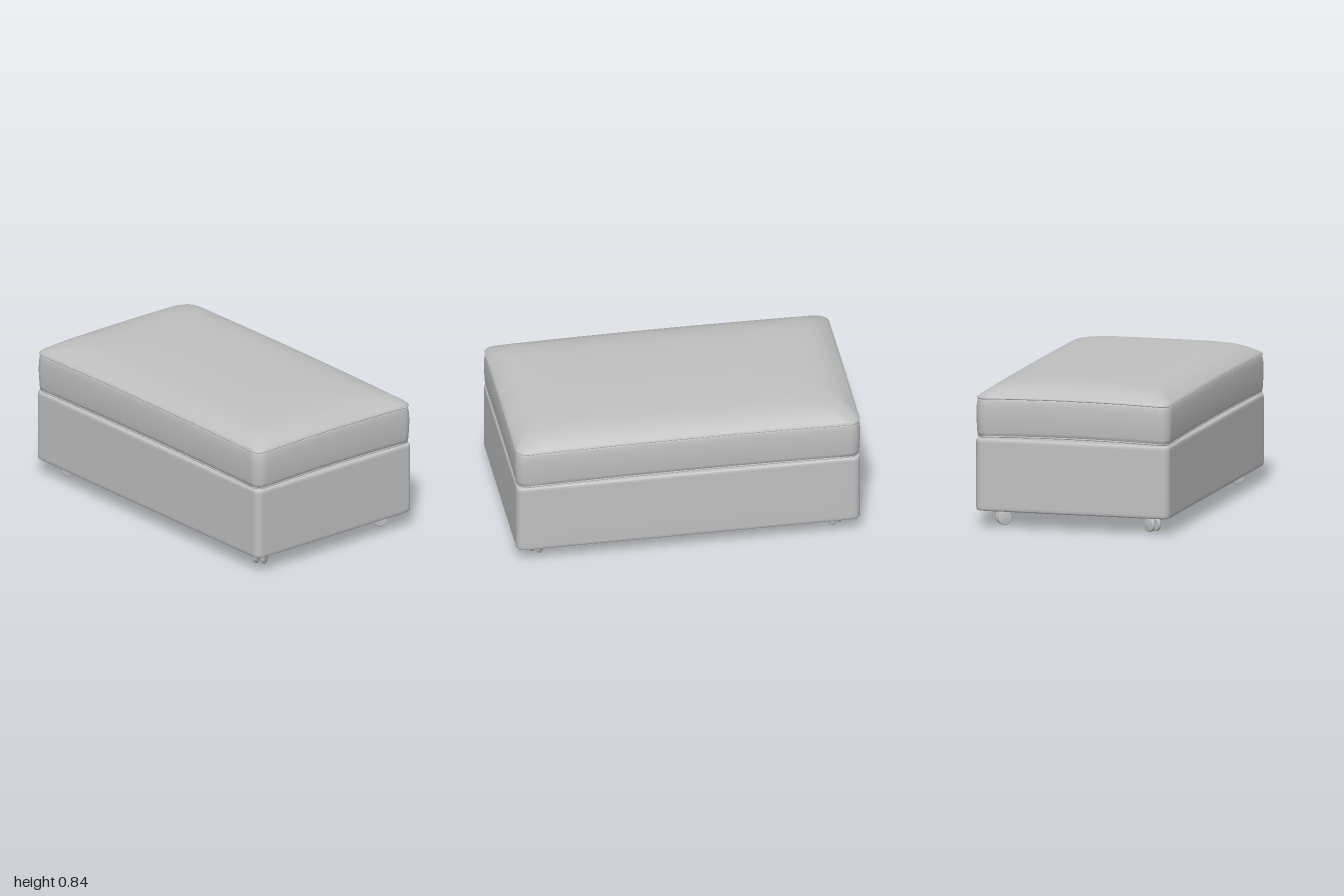
import * as THREE from 'three';

// Outline of a rounded rectangle in the xz plane, with subdivided straight edges
function outline(hx, hz, r) {
  const pts = [];
  const arc = 8, edge = 14;
  const corners = [[1, 1], [-1, 1], [-1, -1], [1, -1]];
  corners.forEach(([sx, sz], k) => {
    for (let i = 0; i <= arc; i++) {
      const a = (k + i / arc) * Math.PI / 2;
      pts.push([sx * (hx - r) + r * Math.cos(a), sz * (hz - r) + r * Math.sin(a)]);
    }
    const [nx, nz] = corners[(k + 1) % 4];
    const a = (k + 1) * Math.PI / 2;
    const from = pts[pts.length - 1];
    const to = [nx * (hx - r) + r * Math.cos(a), nz * (hz - r) + r * Math.sin(a)];
    for (let i = 1; i < edge; i++) {
      pts.push([from[0] + (to[0] - from[0]) * i / edge, from[1] + (to[1] - from[1]) * i / edge]);
    }
  });
  return pts;
}

// Ring of points, lifted by "wave" at the middle of each side
function ringPoints({ y, hx, hz, r, wave = 0 }) {
  return outline(hx, hz, r).map(([x, z]) =>
    new THREE.Vector3(x, y + wave * (1 - (x / hx) ** 2 * (z / hz) ** 2), z));
}

// Closed skin through rings listed from bottom to top
function loft(rings) {
  const loops = rings.map(ringPoints);
  const n = loops[0].length;
  const pos = loops.flat().flatMap(p => [p.x, p.y, p.z]);
  const index = [];
  for (let i = 0; i < loops.length - 1; i++) {
    for (let j = 0; j < n; j++) {
      const k = (j + 1) % n;
      const a = i * n + j, b = i * n + k, c = a + n, d = b + n;
      index.push(a, c, b, b, c, d);
    }
  }
  const first = rings[0], last = rings[rings.length - 1];
  const bottom = loops.length * n, top = bottom + 1, lastRow = (loops.length - 1) * n;
  pos.push(0, first.y + (first.wave || 0), 0, 0, last.y + (last.wave || 0), 0);
  for (let j = 0; j < n; j++) {
    const k = (j + 1) % n;
    index.push(bottom, j, k, top, lastRow + k, lastRow + j);
  }
  const geo = new THREE.BufferGeometry();
  geo.setAttribute('position', new THREE.Float32BufferAttribute(pos, 3));
  geo.setIndex(index);
  geo.computeVertexNormals();
  return geo;
}

export function createModel() {
  const model = new THREE.Group();
  model.name = 'ottoman';
  const grey = new THREE.MeshStandardMaterial({ color: 0xc0c0c0 });
  grey.name = 'grey upholstery';

  const add = (parent, geo, name) => {
    const mesh = new THREE.Mesh(geo, grey);
    mesh.name = name;
    parent.add(mesh);
    return mesh;
  };
  // Ring inset by d from the full footprint
  const ring = (y, d, r, wave = 0) => ({ y, hx: 0.997 - d, hz: 0.577 - d, r, wave });

  // Storage box with softened edges
  add(model, loft([
    ring(0.095, 0.03, 0.03), ring(0.095, 0.014, 0.036), ring(0.098, 0.006, 0.04),
    ring(0.105, 0.002, 0.042), ring(0.12, 0.001, 0.043), ring(0.49, 0.001, 0.043),
    ring(0.504, 0.002, 0.042), ring(0.511, 0.006, 0.04), ring(0.515, 0.014, 0.036),
    ring(0.515, 0.03, 0.03),
  ]), 'storageBox');

  // Cushion side band, bulging slightly
  add(model, loft([
    ring(0.522, 0.04, 0.05, 0.012), ring(0.522, 0.016, 0.055, 0.012), ring(0.527, 0.006, 0.06, 0.012),
    ring(0.55, 0.002, 0.062, 0.01), ring(0.6, -0.001, 0.065, 0.006), ring(0.65, -0.003, 0.066, 0.006),
    ring(0.7, -0.001, 0.066, 0.008), ring(0.73, 0.003, 0.065, 0.011), ring(0.74, 0.008, 0.062, 0.012),
    ring(0.744, 0.02, 0.06, 0.012),
  ]), 'cushionBand');

  // Domed cushion top: inset, height, wave
  const dome = [
    [0.02, 0.742, 0.012], [0.006, 0.743, 0.012], [0.004, 0.748, 0.011], [0.012, 0.757, 0.01],
    [0.035, 0.773, 0.008], [0.065, 0.793, 0.006], [0.1, 0.809, 0.004], [0.14, 0.82, 0.002],
    [0.19, 0.829, 0.001], [0.26, 0.835, 0], [0.35, 0.839, 0], [0.45, 0.841, 0], [0.55, 0.842, 0],
  ];
  add(model, loft(dome.map(([d, y, w]) =>
    ring(y, d, Math.min(0.062 + 0.6 * d, 0.95 * (0.577 - d)), w))), 'cushionTop');

  // Piping along the two seams
  for (const [y, d, name] of [[0.744, 0.004, 'upperPiping'], [0.523, 0.007, 'lowerPiping']]) {
    const path = new THREE.CatmullRomCurve3(ringPoints(ring(y, d, 0.062, 0.012)), true);
    add(model, new THREE.TubeGeometry(path, 240, 0.005, 6, true), name);
  }

  // Twin-wheel casters, swivelled symmetrically
  const wheelProfile = [[0, -0.011], [0.036, -0.011], [0.041, -0.007], [0.042, 0],
    [0.041, 0.007], [0.036, 0.011], [0, 0.013]].map(([x, y]) => new THREE.Vector2(x, y));
  for (const sx of [1, -1]) for (const sz of [1, -1]) {
    const caster = new THREE.Group();
    caster.name = (sz > 0 ? 'front' : 'back') + (sx > 0 ? 'Left' : 'Right') + 'Caster';
    caster.position.set(sx * 0.86, 0.042, sz * 0.442);
    caster.rotation.y = 0.55 * sx * sz;
    for (const side of [1, -1]) {
      const wheel = add(caster, new THREE.LatheGeometry(wheelProfile, 28), 'wheel');
      wheel.rotation.z = -side * Math.PI / 2;
      wheel.position.x = side * 0.022;
    }
    const hub = add(caster, new THREE.CylinderGeometry(0.012, 0.012, 0.04, 12), 'axle');
    hub.rotation.z = Math.PI / 2;
    const hood = add(caster, new THREE.BoxGeometry(0.022, 0.022, 0.06), 'hood');
    hood.position.set(0, 0.017, 0);
    const stem = add(caster, new THREE.CylinderGeometry(0.011, 0.011, 0.045, 14), 'stem');
    stem.position.set(0, 0.036, -sz * 0.018);
    model.add(caster);
  }
  return model;
}
